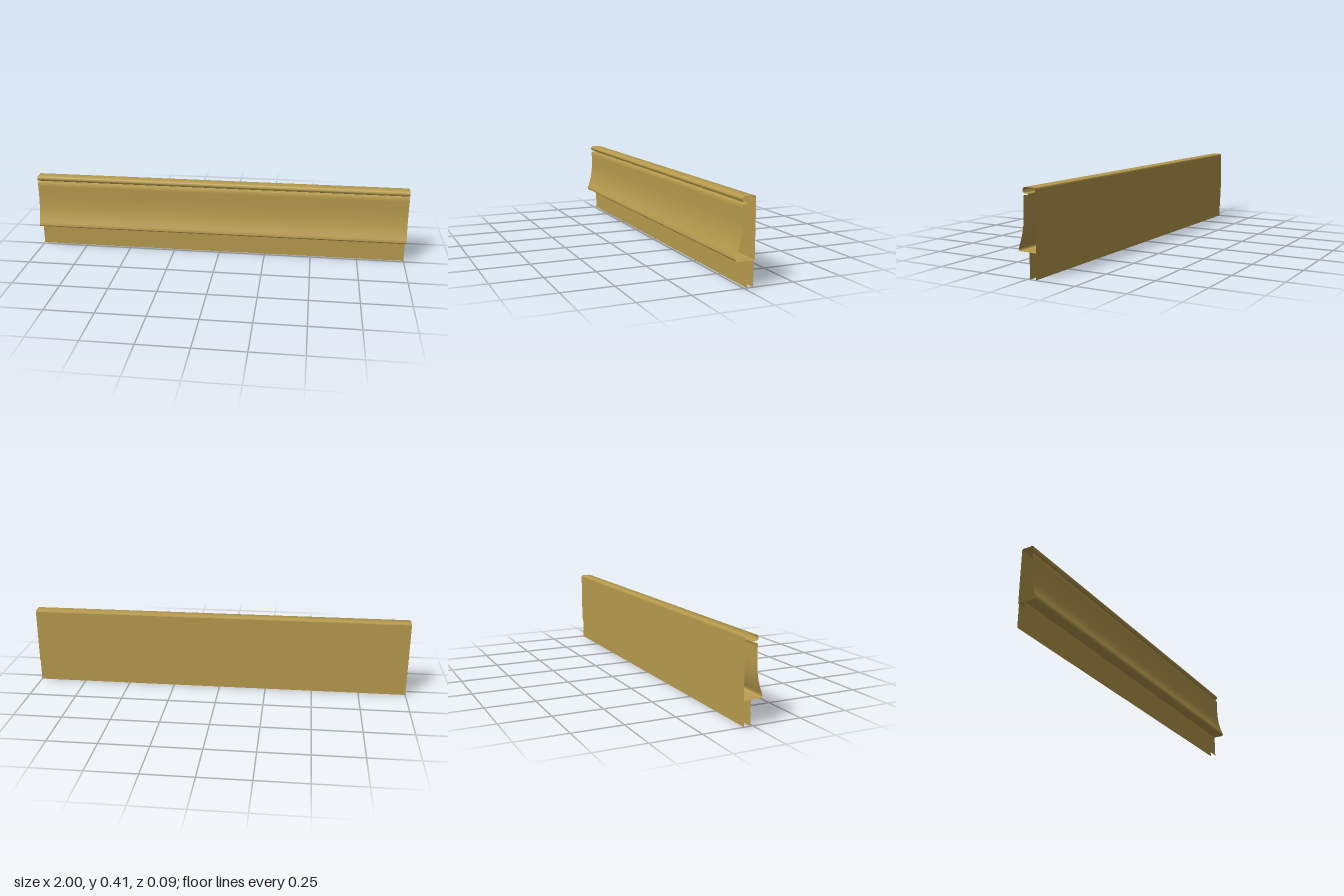
import * as THREE from 'three';
import { toCreasedNormals } from 'three/addons/utils/BufferGeometryUtils.js';

const LENGTH = 2;
const metal = new THREE.MeshStandardMaterial({ color: 0xb89c4e, side: THREE.DoubleSide });

// Sweeps an open [z, y] profile along x as a thin sheet.
function sheet(name, profile) {
  const position = [], index = [];
  profile.forEach(([z, y], i) => {
    position.push(-LENGTH / 2, y, z, LENGTH / 2, y, z);
    if (i > 0) {
      const a = 2 * i - 2;
      index.push(a, a + 2, a + 1, a + 1, a + 2, a + 3);
    }
  });
  const geometry = new THREE.BufferGeometry();
  geometry.setAttribute('position', new THREE.Float32BufferAttribute(position, 3));
  geometry.setIndex(index);
  const mesh = new THREE.Mesh(toCreasedNormals(geometry, 0.7), metal);
  mesh.name = name;
  return mesh;
}

// Smooth run through a few [z, y] points.
function smooth(points, steps) {
  const curve = new THREE.SplineCurve(points.map(([z, y]) => new THREE.Vector2(z, y)));
  return curve.getPoints(steps).map((p) => [p.x, p.y]);
}

export function createModel() {
  const group = new THREE.Group();
  group.name = 'slat';

  // Rolled top edge, folding inward above the front face
  const topRoll = sheet('topRoll', [
    [-0.01, 0.378], [0.006, 0.378],
    ...smooth([[0.011, 0.38], [0.016, 0.388], [0.015, 0.398], [0.008, 0.405]], 8),
    [-0.042, 0.405], [-0.048, 0.403], [-0.05, 0.397],
  ]);

  // Groove between the roll and the front face
  const groove = sheet('groove', [[-0.01, 0.378], [-0.012, 0.374], [-0.01, 0.37], [0.006, 0.37]]);

  // Front face, straight above and flaring out to a rounded lip
  const frontFace = sheet('frontFace', [
    [0.006, 0.37], [0.011, 0.368],
    ...smooth([[0.013, 0.362], [0.013, 0.28], [0.018, 0.225], [0.028, 0.18], [0.04, 0.145],
      [0.044, 0.133], [0.042, 0.124], [0.034, 0.121]], 32),
  ]);

  // Floor behind the lip and the front leaf hanging from it
  const frontLeaf = sheet('frontLeaf', [[0.034, 0.121], [-0.014, 0.121], [-0.014, 0]]);

  // Back plate with a slight ledge above its lower leaf
  const backPlate = sheet('backPlate', [[-0.05, 0.397], [-0.05, 0.121], [-0.045, 0.119]]);
  const backLeaf = sheet('backLeaf', [[-0.045, 0.119], [-0.045, 0]]);

  // Inner floor joining the two leaves
  const innerFloor = sheet('innerFloor', [[-0.014, 0.121], [-0.045, 0.119]]);

  group.add(topRoll, groove, frontFace, frontLeaf, backPlate, backLeaf, innerFloor);
  return group;
}
